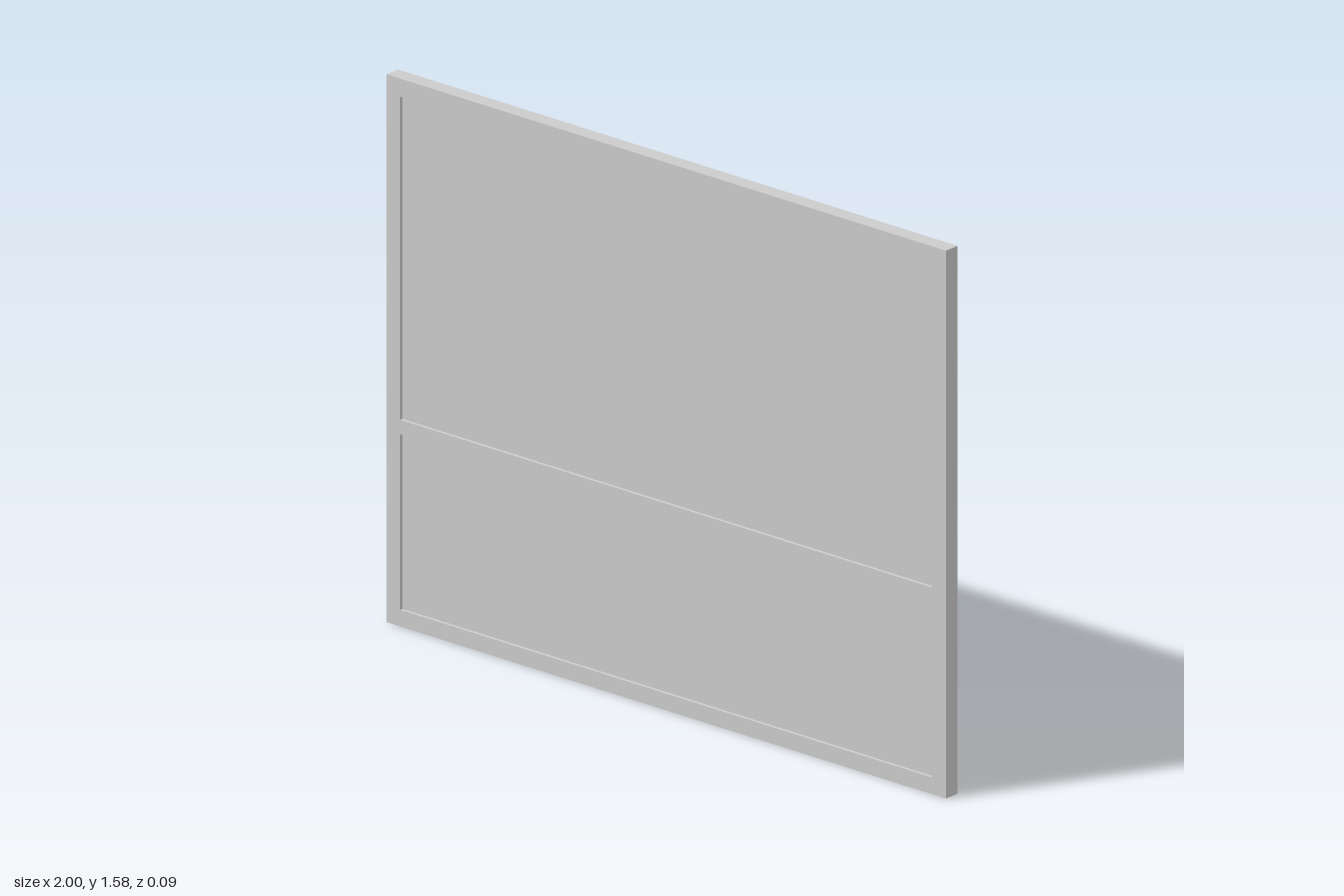
import * as THREE from 'three';

const W = 1.999, H = 1.575, T = 0.048;   // overall width, height, depth
const RECESS = 0.01;                     // how far the panels sit behind the frame face
const EDGE = 0.95;                       // half width of the openings
const OPENINGS = [
  { name: 'lowerPanel', y0: 0.048, y1: 0.553 },
  { name: 'upperPanel', y0: 0.594, y1: 1.523 },
];

const material = new THREE.MeshStandardMaterial({ color: 0xcccccc, side: THREE.DoubleSide });

function rectangle(PathType, x, y0, y1) {
  const path = new PathType();
  path.moveTo(-x, y0).lineTo(x, y0).lineTo(x, y1).lineTo(-x, y1).closePath();
  return path;
}

// Four thin walls around a rectangle, running back from z; sign 1 faces outward, -1 inward
function addWalls(parent, name, x, y0, y1, z, depth, sign) {
  const group = new THREE.Group();
  group.name = name;
  for (const s of [-1, 1]) {
    const side = new THREE.Mesh(new THREE.PlaneGeometry(depth, y1 - y0), material);
    side.rotation.y = s * sign * Math.PI / 2;
    side.position.set(s * x, (y0 + y1) / 2, z - depth / 2);
    side.name = s > 0 ? 'leftWall' : 'rightWall';
    const level = new THREE.Mesh(new THREE.PlaneGeometry(2 * x, depth), material);
    level.rotation.x = -s * sign * Math.PI / 2;
    level.position.set(0, s > 0 ? y1 : y0, z - depth / 2);
    level.name = s > 0 ? 'topWall' : 'bottomWall';
    group.add(side, level);
  }
  parent.add(group);
}

export function createModel() {
  const model = new THREE.Group();
  model.name = 'framedPanel';
  const body = new THREE.Group();
  body.name = 'body';
  const front = T / 2;

  // Front face of the frame with its two openings
  const shape = rectangle(THREE.Shape, W / 2, 0, H);
  for (const o of OPENINGS) shape.holes.push(rectangle(THREE.Path, EDGE, o.y0, o.y1));
  const face = new THREE.Mesh(new THREE.ShapeGeometry(shape), material);
  face.name = 'frameFace';
  face.position.z = front;
  body.add(face);

  // Outer rim, open at the back
  addWalls(body, 'outerRim', W / 2, 0, H, front, T, 1);

  // Recessed panels and the step around each
  for (const o of OPENINGS) {
    const panel = new THREE.Mesh(new THREE.PlaneGeometry(2 * EDGE, o.y1 - o.y0), material);
    panel.name = o.name;
    panel.position.set(0, (o.y0 + o.y1) / 2, front - RECESS);
    body.add(panel);
    addWalls(body, o.name + 'Step', EDGE, o.y0, o.y1, front, RECESS, -1);
  }

  // Slight turn about the upright axis
  body.rotation.y = 0.02;
  model.add(body);
  return model;
}
